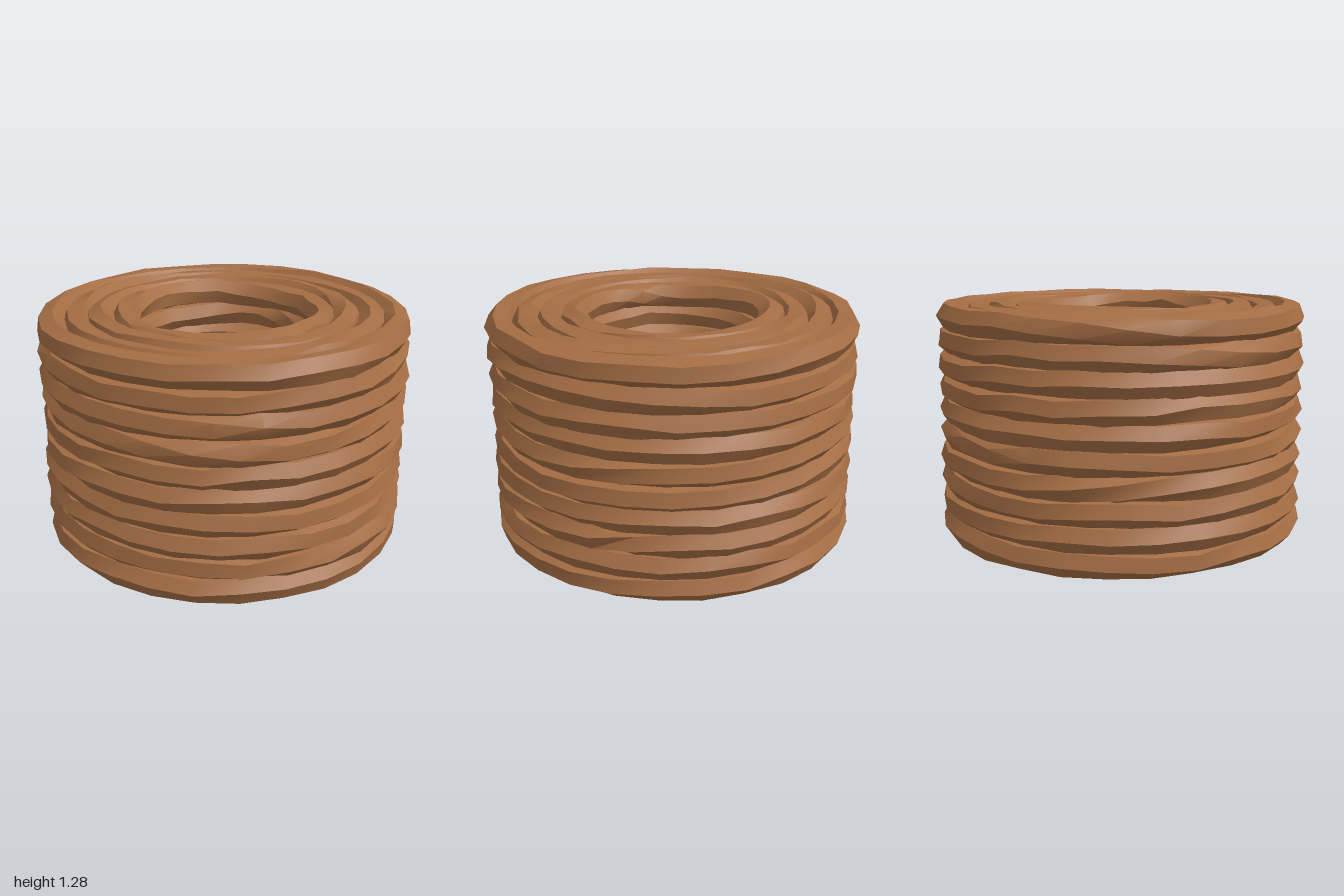
import * as THREE from 'three';
import { toCreasedNormals } from 'three/addons/utils/BufferGeometryUtils.js';

const LAYERS = 10, TURNS = 4, SIDES = 6, SEGMENTS = 27;

// Small seeded generator, for the irregular lay of the strands
function seeded(seed) {
  let s = seed;
  return () => {
    s = (s * 16807) % 2147483647;
    return s / 2147483647;
  };
}

// One rough six-sided strand bent into a ring, with a short twist of one side somewhere along it
function strandRing(radius, y, rand) {
  const geo = new THREE.TorusGeometry(radius, 1, SIDES, SEGMENTS);
  const pos = geo.attributes.position;
  const start = rand() * Math.PI * 2;
  const twistAt = 1 + rand() * 4, twistLength = 0.5 + rand() * 1.2;
  const twistSign = rand() < 0.5 ? -1 : 1;
  const phase = [rand(), rand(), rand(), rand()].map((v) => v * Math.PI * 2);
  const steps = Array.from({ length: SEGMENTS }, () => [rand() - 0.5, rand() - 0.5, rand() - 0.5]);

  for (let j = 0; j <= SIDES; j++) {
    for (let i = 0; i <= SEGMENTS; i++) {
      const u = (i / SEGMENTS) * Math.PI * 2;
      const [jr, jy, jt] = steps[i % SEGMENTS];
      const twist = twistSign * THREE.MathUtils.smoothstep(u, twistAt, twistAt + twistLength) * Math.PI / 3;
      const a = (j / SIDES) * Math.PI * 2 - 0.15 + twist + 0.22 * Math.sin(2 * u + phase[0]) + 0.3 * jt;
      const r = radius + 0.004 * Math.sin(3 * u + phase[1]) + 0.008 * jr + 0.079 * Math.cos(a);
      const h = y + 0.004 * Math.sin(2 * u + phase[2]) + 0.009 * jy + 0.075 * Math.sin(a);
      pos.setXYZ(j * (SEGMENTS + 1) + i, r * Math.cos(u + start), h, -r * Math.sin(u + start));
    }
  }
  return toCreasedNormals(geo, 0.6);
}

export function createModel() {
  const coil = new THREE.Group();
  coil.name = 'ropeCoil';
  const rope = new THREE.MeshStandardMaterial({ color: 0xa46d44 });
  rope.name = 'brown rope';
  const rand = seeded(4711);

  // Stacked layers, each of several turns from the hole to the outside
  for (let layer = 0; layer < LAYERS; layer++) {
    const group = new THREE.Group();
    group.name = `ropeLayer${layer + 1}`;
    for (let turn = 0; turn < TURNS; turn++) {
      const mesh = new THREE.Mesh(strandRing(0.536 + turn * 0.13, 0.08 + layer * 0.1244, rand), rope);
      mesh.name = `ropeTurn${turn + 1}`;
      group.add(mesh);
    }
    coil.add(group);
  }
  return coil;
}
